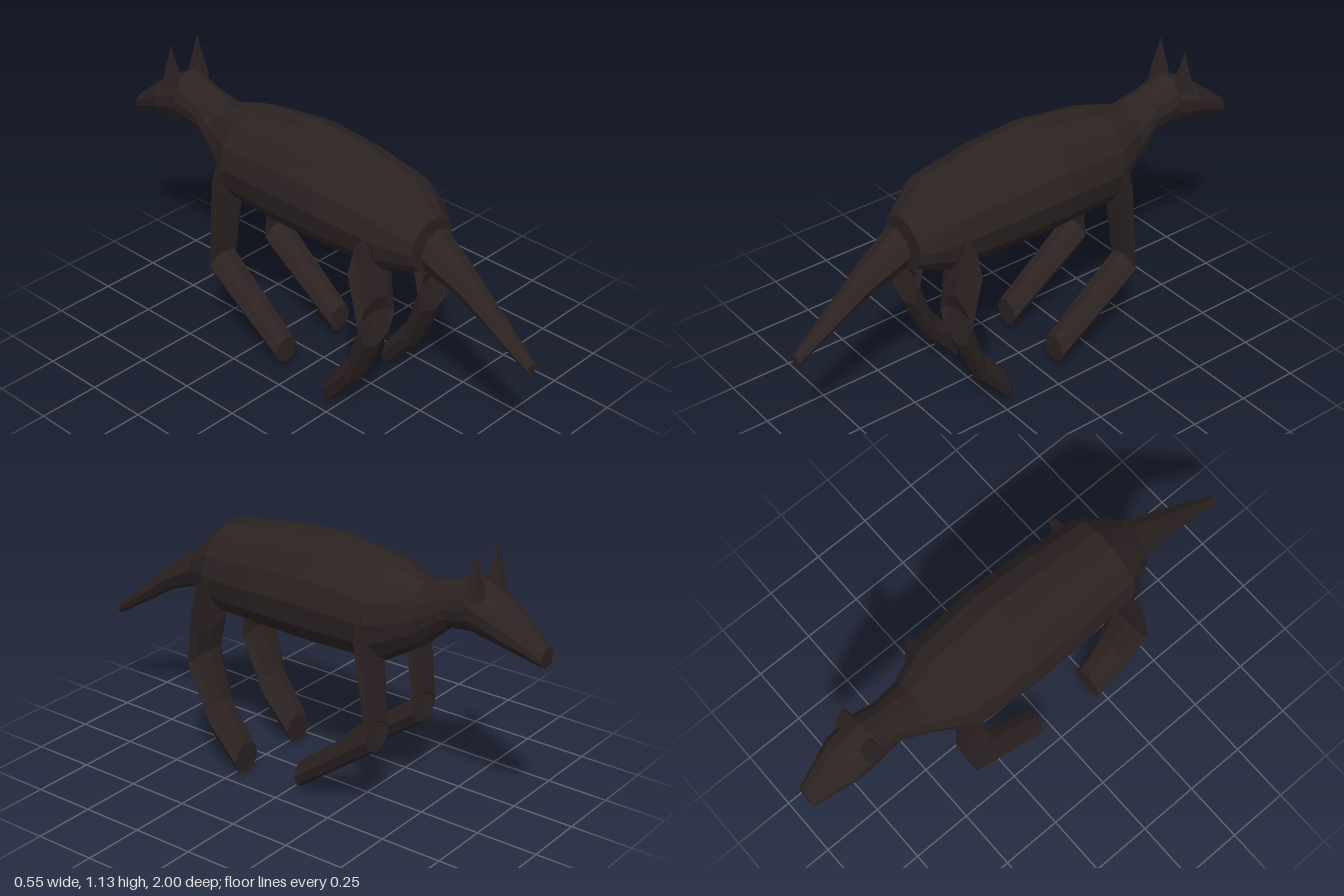
import * as THREE from 'three';

const coat = new THREE.MeshStandardMaterial({ color: 0x2c2222, flatShading: true, side: THREE.DoubleSide });
coat.name = 'darkBrownCoat';

// Closed skin over upright elliptical rings; each ring is [z, top, bottom, halfWidth].
// flatTop puts an edge, rather than a corner, at the top of every ring.
function loft(name, sides, flatTop, cx, rings) {
  const pos = [], idx = [];
  const shift = flatTop ? 0.5 : 0;
  const stretch = flatTop ? 1 / Math.cos(Math.PI / sides) : 1;
  for (const [z, top, bottom, hw] of rings) {
    const cy = (top + bottom) / 2, hh = (top - bottom) / 2 * stretch;
    for (let j = 0; j < sides; j++) {
      const a = (j + shift) / sides * Math.PI * 2;
      pos.push(cx + hw * Math.sin(a), cy + hh * Math.cos(a), z);
    }
  }
  const tri = (a, b, c, flip) => (flip ? idx.push(a, c, b) : idx.push(a, b, c));
  const last = rings.length - 1;
  const rising = (i) => rings[i + 1][0] > rings[i][0];
  for (let i = 0; i < last; i++) {
    for (let j = 0; j < sides; j++) {
      const a = i * sides + j, b = i * sides + (j + 1) % sides;
      tri(a, b, a + sides, rising(i));
      tri(b, b + sides, a + sides, rising(i));
    }
  }
  // End caps
  for (let j = 1; j < sides - 1; j++) {
    const e = last * sides;
    tri(0, j + 1, j, rising(0));
    tri(e, e + j, e + j + 1, rising(last - 1));
  }
  const indexed = new THREE.BufferGeometry();
  indexed.setAttribute('position', new THREE.Float32BufferAttribute(pos, 3));
  indexed.setIndex(idx);
  const geometry = indexed.toNonIndexed();
  geometry.computeVertexNormals();
  const mesh = new THREE.Mesh(geometry, coat);
  mesh.name = name;
  return mesh;
}

export function createModel() {
  const model = new THREE.Group();
  model.name = 'runningAnimal';

  // Trunk and neck, from rump to throat
  model.add(loft('body', 14, true, 0, [
    [0.527, 0.85, 0.65, 0.112],
    [0.4, 0.96, 0.605, 0.183],
    [0.155, 1.0, 0.597, 0.204],
    [-0.085, 1.017, 0.593, 0.21],
    [-0.355, 0.982, 0.603, 0.193],
    [-0.505, 0.942, 0.697, 0.113],
    [-0.617, 0.975, 0.797, 0.083],
    [-0.715, 1.01, 0.81, 0.092],
  ]));

  // Head tapering to the muzzle
  model.add(loft('head', 12, true, 0, [
    [-0.71, 1.008, 0.81, 0.096],
    [-0.825, 0.955, 0.792, 0.094],
    [-1, 0.815, 0.745, 0.042],
  ]));

  // Tail, set just clear of the rump
  model.add(loft('tail', 8, false, 0, [
    [1, 0.465, 0.418, 0.024],
    [0.71, 0.708, 0.597, 0.058],
    [0.55, 0.823, 0.658, 0.085],
  ]));

  for (const [side, s] of [['left', 1], ['right', -1]]) {
    model.add(loft(side + 'HindLeg', 8, false, s * 0.163, [
      [0.376, 0.812, 0.56, 0.112],
      [0.417, 0.555, 0.34, 0.097],
      [0.33, 0.29, 0.135, 0.078],
      [0.215, 0.135, 0.003, 0.067],
    ]));
    model.add(loft(side + 'ForeLeg', 8, false, s * 0.151, [
      [-0.351, 0.846, 0.66, 0.09],
      [-0.399, 0.413, 0.29, 0.07],
      [-0.056, 0.147, 0.034, 0.056],
    ]));

    // Pointed four-sided ear
    const ear = new THREE.Mesh(new THREE.ConeGeometry(0.045, 0.17, 4).rotateY(Math.PI / 4), coat);
    ear.name = side + 'Ear';
    ear.scale.x = 0.9;
    ear.position.set(s * 0.068, 1.045, -0.742);
    model.add(ear);
  }
  return model;
}
